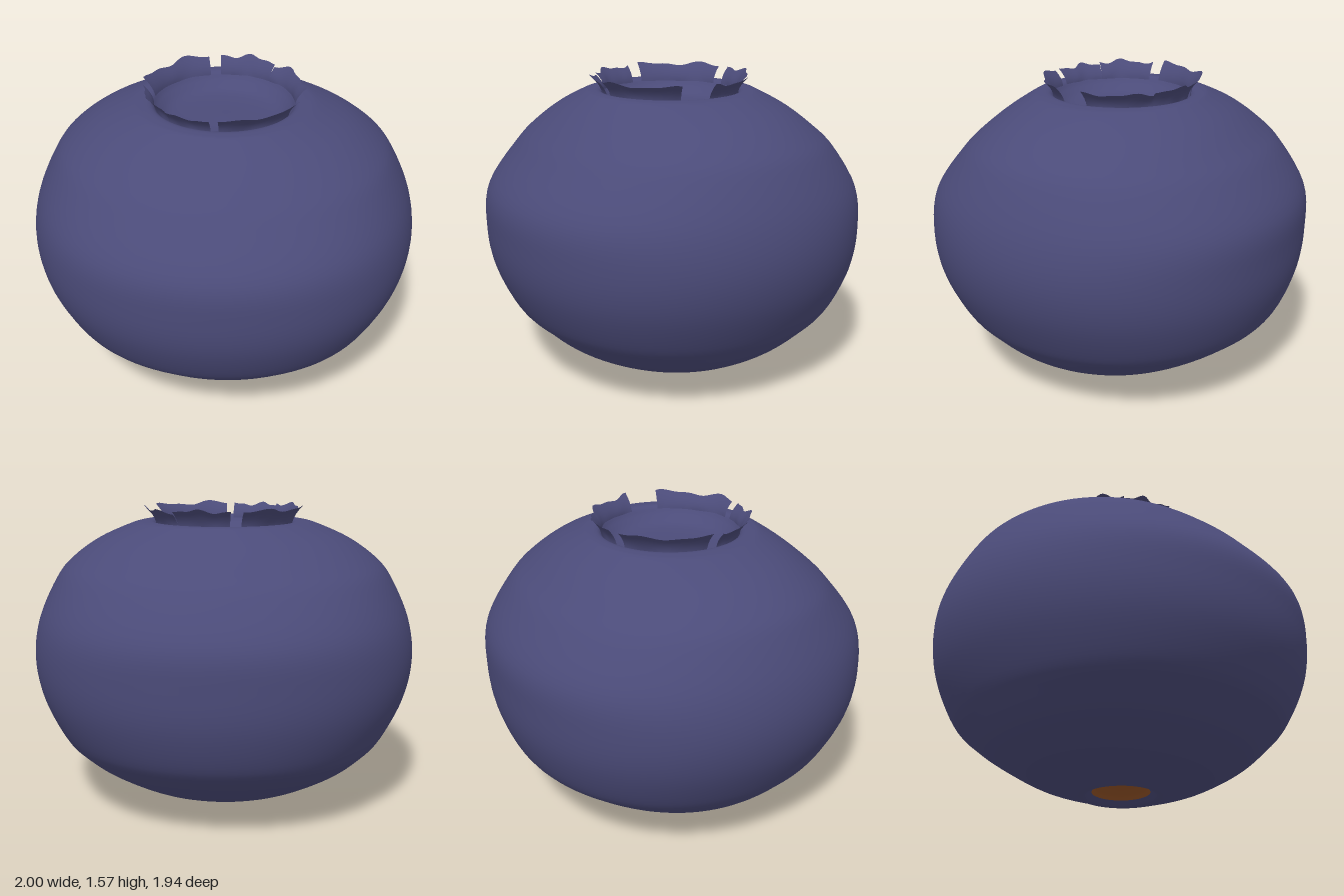
import * as THREE from 'three';

const SEG = 96;

function meshFromGrid(rows, closed) {
  // rows run along the profile, columns run around the fruit
  const n = rows[0].length, pos = rows.flat(2), idx = [];
  for (let i = 0; i < rows.length - 1; i++) {
    for (let j = 0; j < (closed ? n : n - 1); j++) {
      const k = (j + 1) % n, a = i * n + j, b = i * n + k;
      idx.push(a, a + n, b, b, a + n, b + n);
    }
  }
  const g = new THREE.BufferGeometry();
  g.setAttribute('position', new THREE.Float32BufferAttribute(pos, 3));
  g.setIndex(idx);
  g.computeVertexNormals();
  return g;
}

// Profile points: [y, side radius, front radius, back radius]
function roundBody(profile, steps) {
  const curve = (c) => new THREE.CatmullRomCurve3(
    profile.map((p) => new THREE.Vector3(p[1], p[0], p[c])), false, 'catmullrom', 0.5);
  const front = curve(2), back = curve(3), rows = [];
  for (let i = 0; i <= steps; i++) {
    const f = front.getPoint(i / steps), b = back.getPoint(i / steps), row = [];
    // slightly squarish girth, fading towards the poles
    const square = 0.018 * THREE.MathUtils.smoothstep(f.x, 0.45, 0.9);
    for (let j = 0; j < SEG; j++) {
      const t = (j / SEG) * Math.PI * 2, c = Math.cos(t), s = Math.sin(t);
      const k = 1 + square * Math.sin(2 * t) ** 2;
      row.push([c * f.x * k, f.y, s * (s > 0 ? f.z : b.z) * k]);
    }
    rows.push(row);
  }
  return meshFromGrid(rows, true);
}

// Thin flared sepal between two angles in degrees, with a ragged top edge
function sepal(from, to, height, phase) {
  const rows = [], n = 24, steps = 5;
  for (let i = 0; i <= steps; i++) {
    const v = i / steps, row = [];
    for (let j = 0; j <= n; j++) {
      const u = j / n, t = THREE.MathUtils.degToRad(from + (to - from) * u);
      const wave = Math.sin(u * 9 + phase) * 0.009 + Math.sin(u * 17 + phase * 2) * 0.005;
      const r = 0.355 + 0.05 * v * v + wave * v;
      row.push([Math.cos(t) * r, 1.465 + v * (height + wave * 0.9), Math.sin(t) * r]);
    }
    rows.push(row);
  }
  return meshFromGrid(rows, false);
}

export function createModel() {
  const skin = new THREE.MeshStandardMaterial({ color: 0x4b4b79 });
  skin.name = 'blueSkin';
  const crownSkin = new THREE.MeshStandardMaterial({ color: 0x4b4b79, side: THREE.DoubleSide });
  crownSkin.name = 'blueCrown';
  const scarBrown = new THREE.MeshStandardMaterial({ color: 0x985527 });
  scarBrown.name = 'scarBrown';

  const model = new THREE.Group();
  model.name = 'blueberry';
  const add = (geometry, material, name, parent = model) => {
    const m = new THREE.Mesh(geometry, material);
    m.name = name;
    parent.add(m);
  };

  // Skin from the stem dimple, around the fruit, over the rim and into the basin
  const profile = [
    [0.03, 0.15, 0.15, 0.15], [0.005, 0.2, 0.2, 0.2], [0.03, 0.3, 0.27, 0.27],
    [0.1, 0.5, 0.46, 0.465], [0.2, 0.68, 0.64, 0.63], [0.3, 0.79, 0.755, 0.77],
    [0.4, 0.87, 0.85, 0.87], [0.6, 0.965, 0.94, 0.945], [0.8, 1.0, 0.967, 0.965],
    [1.0, 0.97, 0.945, 0.95], [1.2, 0.88, 0.79, 0.82], [1.3, 0.8, 0.69, 0.715],
    [1.4, 0.66, 0.57, 0.59], [1.475, 0.49, 0.46, 0.46], [1.49, 0.42, 0.42, 0.42],
    [1.487, 0.37, 0.37, 0.37], [1.45, 0.335, 0.335, 0.335], [1.41, 0.27, 0.27, 0.27],
    [1.398, 0.14, 0.14, 0.14], [1.4, 0, 0, 0],
  ];
  add(roundBody(profile, 95), skin, 'berrySkin');

  // Sunken stem scar underneath
  const scar = [[0.075, 0, 0, 0], [0.07, 0.06, 0.06, 0.06], [0.05, 0.12, 0.12, 0.12], [0.03, 0.15, 0.15, 0.15]];
  add(roundBody(scar, 12), scarBrown, 'stemScar');

  // Ring of ragged sepals
  const crown = new THREE.Group();
  crown.name = 'crown';
  model.add(crown);
  [[22, 88, 0.09, 0.5], [94, 132, 0.085, 2], [132, 175, 0.095, 4],
    [184, 252, 0.1, 1], [261, 306, 0.1, 3], [306, 358, 0.09, 5]]
    .forEach(([a, b, h, p], i) => add(sepal(a, b, h, p), crownSkin, `sepal${i + 1}`, crown));

  return model;
}
